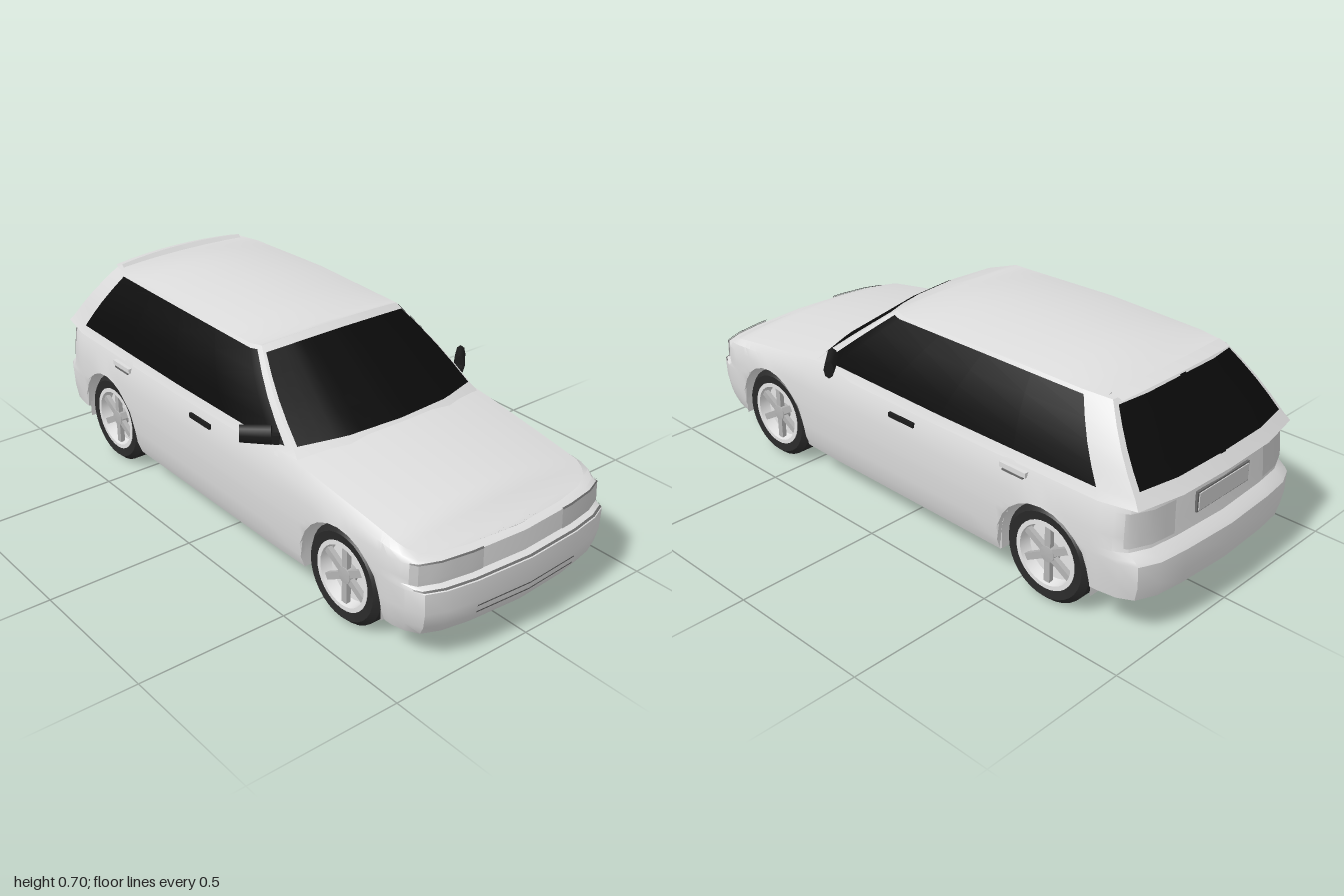
import * as THREE from 'three';
import { toCreasedNormals } from 'three/addons/utils/BufferGeometryUtils.js';

const mat = (name, color, side = THREE.DoubleSide) => {
  const m = new THREE.MeshStandardMaterial({ color, side });
  m.name = name;
  return m;
};
const clamp = THREE.MathUtils.clamp;
const lerp = THREE.MathUtils.lerp;

// Surface through rows of points (each row has the same length)
function grid(rows, crease = 0.6) {
  const n = rows[0].length, idx = [];
  for (let j = 0; j < rows.length - 1; j++) {
    for (let i = 0; i < n - 1; i++) {
      const a = j * n + i, b = a + n;
      idx.push(a, a + 1, b, a + 1, b + 1, b);
    }
  }
  const g = new THREE.BufferGeometry();
  g.setAttribute('position', new THREE.Float32BufferAttribute(rows.flat(2), 3));
  g.setIndex(idx);
  return toCreasedNormals(g, crease);
}

// Piecewise linear lookup in [[key, value], ...] with falling keys
function lookup(table, k) {
  for (let i = 1; i < table.length; i++) {
    const [a, va] = table[i - 1], [b, vb] = table[i];
    if (k >= b) return lerp(va, vb, clamp((a - k) / (a - b), 0, 1));
  }
  return table[table.length - 1][1];
}

// ---- Lower body: plan outline stacked in levels, lifted over the wheel arches
const AXLES = [0.625, -0.63], ARCH = 0.172, AXLE_Y = 0.157;
const SIDE = [[0.83, 0.395], [0.3, 0.41], [-0.5, 0.41], [-0.83, 0.4]];
const SHOULDER = [[1, 0.34], [0.9, 0.36], [0.7, 0.392], [0.44, 0.43], [0.3, 0.445], [-1, 0.455]];
const outline = [[0, 1], [0.2, 0.987], [0.3, 0.97], [0.36, 0.945], [0.385, 0.89], [0.395, 0.83]];
const stations = [0.3, 0.15, 0, -0.2, -0.35];
for (const c of AXLES) {
  stations.push(c + ARCH + 0.003, c - ARCH - 0.003);
  for (let k = 0; k <= 12; k++) stations.push(c + ARCH * Math.cos(k * Math.PI / 12));
}
stations.sort((a, b) => b - a).forEach(z => outline.push([lookup(SIDE, z), z]));
outline.push([0.4, -0.83], [0.39, -0.9], [0.365, -0.95], [0.3, -0.978], [0.2, -0.99], [0, -1]);

// Level: height, then inset at the side, front and rear
const LEVELS = [
  [0.10, 0.025, 0.035, 0.04], [0.14, 0.01, 0.01, 0.012], [0.19, 0.004, 0, 0], [0.258, 0, 0, 0],
  [0.27, 0, 0.03, 0.01], [0.29, 0, 0.03, 0.035], [0.335, 0.002, 0.032, 0.038],
  [0.4, 0.01, 0.042, 0.042], [0.45, 0.032, 0.058, 0.045]];
const TOP = LEVELS.length - 1;
const inArch = z => AXLES.some(c => Math.abs(z - c) <= ARCH + 0.0005);
function sill(z) {
  const c = AXLES.find(a => Math.abs(z - a) <= ARCH + 0.0005);
  if (c !== undefined) return AXLE_Y + Math.sqrt(Math.max(0, ARCH ** 2 - (z - c) ** 2));
  return z < -0.8 ? 0.135 : 0.1;
}
function bodyAt(i, j) {
  const [px, pz] = outline[i], [h, ds, df, dr] = LEVELS[j];
  const top = lookup(SHOULDER, pz);
  const y = j === TOP ? top : j === TOP - 1 ? lerp(0.335, top, 0.6) : Math.min(h, top);
  const w = THREE.MathUtils.smoothstep(Math.abs(pz), 0.82, 0.95);
  return [px * (1 - ds / 0.41), Math.max(y, sill(pz)), pz - (pz > 0 ? df : -dr) * w];
}

// ---- Cabin: base point and roof-edge point for each place around the half loop
const CABIN = [
  [0, 0.465, 0.445, 0, 0.69, 0.13], [0.2, 0.463, 0.43, 0.16, 0.685, 0.125],
  [0.36, 0.455, 0.375, 0.272, 0.67, 0.105], [0.376, 0.45, 0.3, 0.282, 0.665, 0.06],
  [0.382, 0.45, -0.2, 0.287, 0.672, -0.3], [0.376, 0.45, -0.8, 0.277, 0.667, -0.66],
  [0.355, 0.455, -0.92, 0.262, 0.663, -0.755], [0.2, 0.455, -0.95, 0.15, 0.67, -0.775],
  [0, 0.455, -0.955, 0, 0.675, -0.78]];
function cabinAt(i, t) {
  const c = CABIN[i], bow = 0.012 * Math.sin(Math.PI * clamp(t, 0, 1));
  return [0, 1, 2].map(k => lerp(c[k], c[k + 3], t) + (k === 0 && i > 1 && i < 7 ? bow : 0));
}

// Point of a surface at fractional places; negative u mirrors to the other side
const blend = (p, q, f) => p.map((v, k) => lerp(v, q[k], f));
function sample(at, count, u) {
  const a = Math.abs(u), i = Math.min(Math.floor(a), count - 2);
  const p = blend(at(i), at(i + 1), a - i);
  return u < 0 ? [-p[0], p[1], p[2]] : p;
}
const cabin = (u, t) => sample(i => cabinAt(i, t), CABIN.length, u);
const body = (u, v) => {
  const j = Math.min(Math.floor(v), TOP - 1);
  return sample(i => blend(bodyAt(i, j), bodyAt(i, j + 1), v - j), outline.length, u);
};
// Thin skin lying just outside a surface
function patch(surface, us, vs, lift = 0.004) {
  return grid(vs.map(v => us.map(u => {
    const s = Math.sign(u) || 1, m = Math.abs(u), e = 0.02;
    const P = (a, b) => new THREE.Vector3(...surface(a, b));
    const du = P(m + e, v).sub(P(Math.max(m - e, 0), v)), dv = P(m, v + e).sub(P(m, v - e));
    const p = P(m, v), n = du.cross(dv).normalize();
    if (n.x * p.x + n.z * p.z < 0) n.negate();
    p.addScaledVector(n, lift);
    return [s * p.x, p.y, p.z];
  })));
}
// Strips joining mirrored edge points, raised along the middle
const across = (edge, crown, steps = [-1, -0.9, -0.7, -0.35, 0, 0.35, 0.7, 0.9, 1]) =>
  grid(edge.map(([x, y, z]) => steps.map(f => [x * f, y + crown(z) * (1 - f * f), z])), 0.7);
const mirrored = n => Array.from({ length: 2 * n - 1 }, (_, k) => k - n + 1);
const span = (a, b, n) => Array.from({ length: n + 1 }, (_, k) => lerp(a, b, k / n));

export function createModel() {
  const car = new THREE.Group();
  car.name = 'car';
  const paint = mat('body paint', 0xdcdcdc), glass = mat('dark glass', 0x0a0a0a);
  const rubber = mat('tyre rubber', 0x2a2a2a), trim = mat('black trim', 0x1c1c1c);
  const alloy = mat('wheel alloy', 0xe4e4e4), spokeGrey = mat('spoke grey', 0xb4b4b4);
  const lens = mat('lamp lens', 0xc8c8c8), seam = mat('seam grey', 0x6a6a6a);
  const add = (name, geo, m, parent = car) => {
    const mesh = new THREE.Mesh(geo, m);
    mesh.name = name;
    parent.add(mesh);
    return mesh;
  };
  const box = (name, size, pos, m, parent) => {
    const mesh = add(name, new THREE.BoxGeometry(...size), m, parent);
    mesh.position.set(...pos);
    return mesh;
  };

  // Body shell, bonnet deck and floor
  const ring = mirrored(outline.length);
  add('lowerBody', grid(LEVELS.map((_, j) => ring.map(u => body(u, j)))), paint);
  const rim = outline.map((_, i) => bodyAt(i, TOP));
  add('bonnetDeck', across(rim, z => 0.034 * clamp((0.945 - Math.abs(z)) / 0.12, 0, 1)), paint);
  add('floor', across(outline.map(([, z], i) => {
    const p = bodyAt(i, 0);
    return inArch(z) ? [0.24, z < -0.8 ? 0.135 : 0.1, p[2]] : p;
  }), () => 0, [-1, 1]), paint);

  // Cabin shell and roof
  const loop = mirrored(CABIN.length);
  add('cabinShell', grid([-0.12, 0, 0.25, 0.5, 0.75, 1].map(t => loop.map(u => cabin(u, t)))), paint);
  const roofEdge = span(0, CABIN.length - 1, 32).map(u => cabin(u, 1));
  add('roof', across(roofEdge, z => 0.03 * clamp((0.13 - z) / 0.12, 0, 1) * clamp((z + 0.78) / 0.2, 0, 1)), paint);
  add('roofLip', grid([[0.668, -0.74], [0.684, -0.755], [0.672, -0.795], [0.66, -0.765]].map(([y, z]) =>
    span(-0.25, 0.25, 8).map(x => [x, y - 0.15 * x * x, z + 0.25 * x * x]))), paint);

  // Windows
  add('windscreen', patch(cabin, span(-1.93, 1.93, 16), span(0.02, 0.92, 4)), glass);
  add('rearWindow', patch(cabin, [6.12, 6.5, 7, 7.5, 7.98], span(0.06, 0.93, 4)), glass);
  add('rearWindowRight', patch(cabin, [-6.12, -6.5, -7, -7.5, -7.98], span(0.06, 0.93, 4)), glass);
  box('rearWindowMiddle', [0.02, 0.25, 0.006], [0, 0.568, -0.872], glass).rotation.x = 0.675;
  for (const s of [1, -1]) {
    const side = s > 0 ? 'Left' : 'Right';
    add('sideWindow' + side, patch(cabin, [2.4, 3, 3.5, 4, 4.5, 5.04].map(u => s * u), span(0.02, 0.95, 4)), glass);

    // Lamps wrapping round the corners
    const last = outline.length - 1;
    add('headlamp' + side, patch(body, [0.8, 1, 1.5, 2, 2.5, 3, 3.5].map(u => s * u), [4.1, 5, 6]), lens);
    add('headlampTopEdge' + side, patch(body, [0.8, 1, 2, 3, 3.5].map(u => s * u), [6, 6.08], 0.006), seam);
    add('tailLamp' + side, patch(body, [3.3, 3, 2.5, 2, 1.5, 1.15].map(d => s * (last - d)), [5.3, 6, 7]), lens);

    // Door handles and mirrors
    box('frontDoorHandle' + side, [0.016, 0.016, 0.11], [s * 0.401, 0.392, -0.05], trim);
    box('rearDoorHandle' + side, [0.016, 0.016, 0.1], [s * 0.4, 0.407, -0.52], paint);
    box('rearHandleShadow' + side, [0.012, 0.006, 0.08], [s * 0.403, 0.395, -0.52], seam);
    const mirror = new THREE.Group();
    mirror.name = 'mirror' + side;
    mirror.position.set(s * 0.418, 0.482, 0.265);
    mirror.rotation.y = s * 0.75;
    const shell = new THREE.CylinderGeometry(0.03, 0.034, 0.095, 8);
    shell.rotateZ(-s * Math.PI / 2).scale(1, 1, 0.55);
    add('mirrorShell', shell, trim, mirror);
    box('mirrorArm', [0.04, 0.03, 0.02], [-s * 0.052, -0.013, 0], trim, mirror);
    car.add(mirror);

    AXLES.forEach((c, a) => {
      // Wheel housing: arched liner and inner wall
      const arc = [[0.1, c + ARCH], ...span(0, Math.PI, 14).map(t =>
        [AXLE_Y + ARCH * Math.sin(t), c + ARCH * Math.cos(t)]), [0.1, c - ARCH]];
      add('wheelHousing', grid([[0.384, 0], [0.24, 0], [0.24, 1]].map(([x, low]) =>
        arc.map(([y, z]) => [s * x, low ? 0.1 : y, z]))), paint);

      // Wheel, with its outer face toward +x before mirroring
      const wheel = new THREE.Group();
      wheel.name = (a ? 'rear' : 'front') + 'Wheel' + side;
      wheel.position.set(s * 0.325, AXLE_Y, c);
      if (s < 0) wheel.rotation.y = Math.PI;
      const turn = pts => toCreasedNormals(new THREE.LatheGeometry(
        pts.map(p => new THREE.Vector2(...p)), 32), 0.5).rotateZ(-Math.PI / 2);
      add('tyre', turn([[0.105, -0.055], [0.14, -0.06], [0.157, -0.042], [0.157, 0.042], [0.14, 0.06], [0.105, 0.055]]), rubber, wheel);
      add('rim', turn([[0, -0.03], [0.1, -0.04], [0.105, -0.055], [0.112, 0.058], [0.098, 0.058], [0.092, 0.02], [0, 0.02]]), alloy, wheel);
      add('hub', turn([[0.028, 0.018], [0.026, 0.05], [0, 0.053]]), spokeGrey, wheel);
      for (let k = 0; k < 6; k++) {
        const spoke = new THREE.BoxGeometry(0.016, 0.08, 0.022).translate(0.04, 0.056, 0);
        add('spoke', spoke.rotateX(k * Math.PI / 3), spokeGrey, wheel);
      }
      car.add(wheel);
    });
  }

  // Bumper slot, bonnet seam and rear plate
  const nose = span(-1, 1, 8);
  for (const [v, d] of [[1.2, 0.1], [1.68, 0.1]]) add('bumperSlotEdge', patch(body, nose, [v, v + d]), seam);
  add('bumperSeam', patch(body, span(-3.5, 3.5, 14), [3.1, 3.35], 0.002), seam);
  box('rearPlateFrame', [0.25, 0.066, 0.008], [0, 0.365, -0.958], seam);
  box('rearPlate', [0.238, 0.056, 0.009], [0, 0.365, -0.961], lens);
  return car;
}
